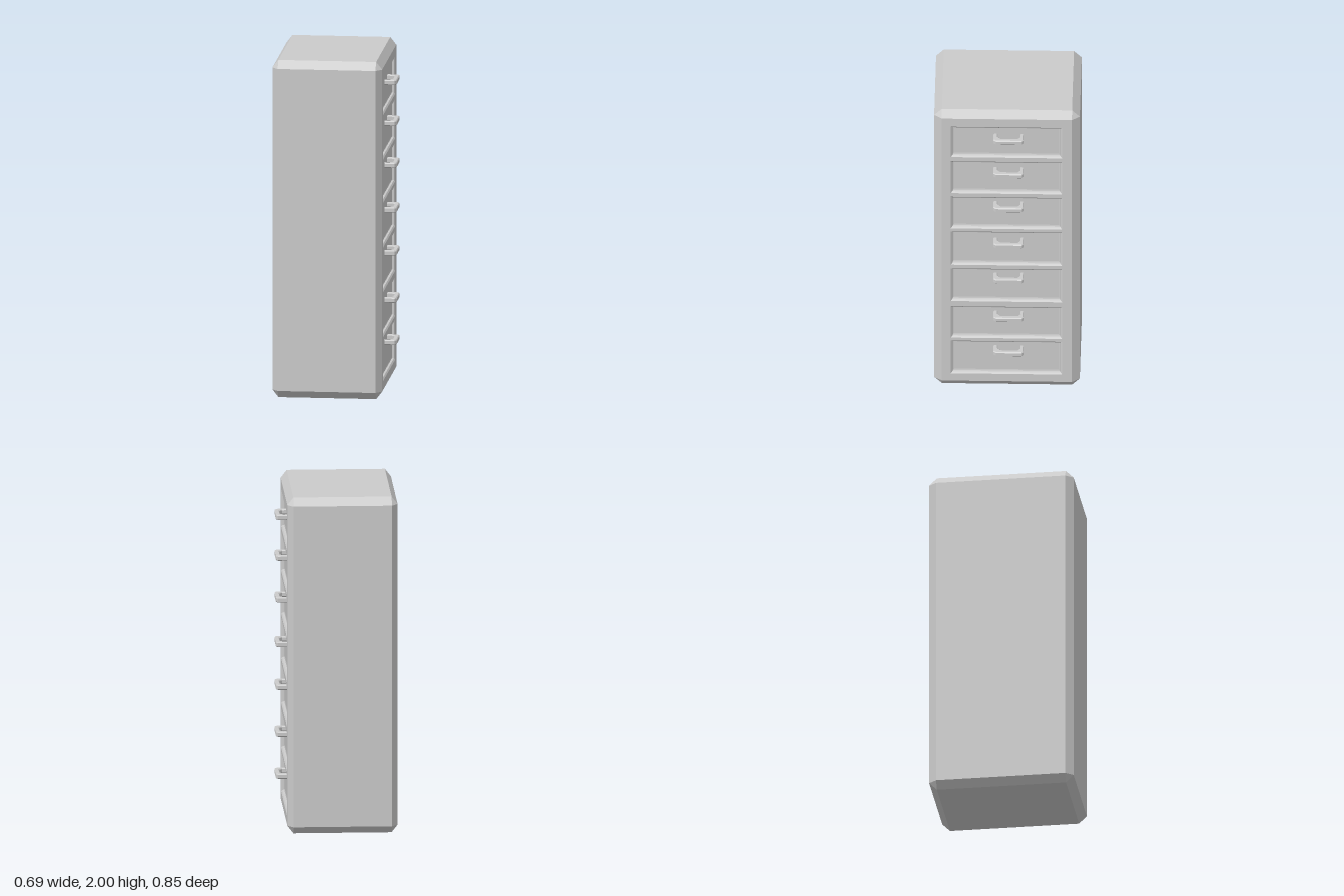
import * as THREE from 'three';

const material = new THREE.MeshStandardMaterial({ color: 0xcccccc, flatShading: true });
const FRONT = 0.293, BACK = -0.35, HALF_Z = 0.425, TOP = 2;
const BEVEL = 0.045, BEVEL_X = 0.035;

// Skin successive rings { x, pts: [[y, z], ...] }; optional caps on first and last ring
function loft(rings, capFirst, capLast) {
  const pos = [];
  const tri = (...corners) => {
    const [a, b, c] = corners.map(p => new THREE.Vector3(...p));
    const area = b.clone().sub(a).cross(c.clone().sub(a)).length();
    if (area > 1e-9) corners.forEach(p => pos.push(...p));
  };
  const loops = rings.map(r => r.pts.map(([y, z]) => [r.x, y, z]));
  const n = loops[0].length;
  for (let i = 0; i + 1 < loops.length; i++) {
    for (let j = 0; j < n; j++) {
      const k = (j + 1) % n, p = loops[i], q = loops[i + 1];
      tri(p[j], p[k], q[k]);
      tri(p[j], q[k], q[j]);
    }
  }
  const first = loops[0], last = loops[loops.length - 1];
  for (let j = 1; j + 1 < n; j++) {
    if (capFirst) tri(first[0], first[j + 1], first[j]);
    if (capLast) tri(last[0], last[j], last[j + 1]);
  }
  const geo = new THREE.BufferGeometry();
  geo.setAttribute('position', new THREE.Float32BufferAttribute(pos, 3));
  geo.computeVertexNormals();
  return geo;
}

const rect = (y0, y1, z0, z1) => [[y0, z1], [y0, z0], [y1, z0], [y1, z1]];

// Bottom, top and handle height of each drawer
const drawers = [
  [1.675, 1.897, 1.82], [1.412, 1.645, 1.577], [1.155, 1.386, 1.328], [0.89, 1.134, 1.063],
  [0.625, 0.864, 0.808], [0.358, 0.588, 0.528], [0.098, 0.337, 0.278],
];
const Z0 = -0.323, Z1 = 0.328;

export function createModel() {
  const group = new THREE.Group();
  const add = (geo, name, parent = group) => {
    const mesh = new THREE.Mesh(geo, material);
    mesh.name = name;
    parent.add(mesh);
    return mesh;
  };

  // Cabinet shell with one flat bevel on every edge
  const zi = HALF_Z - BEVEL, yi = TOP - BEVEL;
  const full = [[0, zi], [0, -zi], [BEVEL, -HALF_Z], [yi, -HALF_Z],
    [TOP, -zi], [TOP, zi], [yi, HALF_Z], [BEVEL, HALF_Z]];
  const inner = full.map(([y, z]) => [
    THREE.MathUtils.clamp(y, BEVEL, yi), THREE.MathUtils.clamp(z, -zi, zi)]);
  add(loft([
    { x: BACK, pts: inner }, { x: BACK + BEVEL_X, pts: full },
    { x: FRONT - BEVEL_X, pts: full }, { x: FRONT, pts: inner },
  ], true, false), 'cabinetShell');

  // Drawer side of the cabinet, cut open for each drawer
  const toPoints = pts => pts.map(([y, z]) => new THREE.Vector2(-z, y));
  const face = new THREE.Shape(toPoints(rect(BEVEL, yi, -zi, zi)));
  for (const [y0, y1] of drawers) face.holes.push(new THREE.Path(toPoints(rect(y0, y1, Z0, Z1))));
  add(new THREE.ShapeGeometry(face).rotateY(Math.PI / 2).translate(FRONT, 0, 0), 'drawerFrame');

  // Angular pull handle, drawn from above and extruded upwards
  const outline = [[0.268, 0.095], [0.33, 0.095], [0.34, 0.083], [0.34, -0.063], [0.33, -0.075],
    [0.268, -0.075], [0.268, -0.06], [0.302, -0.06], [0.323, -0.04], [0.323, 0.06],
    [0.302, 0.08], [0.268, 0.08]].map(p => new THREE.Vector2(...p));
  const handleGeo = new THREE.ExtrudeGeometry(new THREE.Shape(outline), {
    depth: 0.02, bevelEnabled: true, bevelSize: 0.005, bevelThickness: 0.005, bevelSegments: 1,
  }).translate(0, 0, -0.01).rotateX(-Math.PI / 2);

  // Recessed drawer fronts with a stepped rim
  const rim = [[0, 0], [0.009, 0.007], [0.011, 0.018], [0.02, 0.02]];
  for (const [y0, y1, handleY] of drawers) {
    const drawer = new THREE.Group();
    drawer.name = 'drawer';
    group.add(drawer);
    add(loft(rim.map(([inset, depth]) => ({
      x: FRONT - depth, pts: rect(y0 + inset, y1 - inset, Z0 + inset, Z1 - inset),
    })), false, true), 'drawerFront', drawer);
    add(handleGeo, 'handle', drawer).position.y = handleY;
  }
  return group;
}
